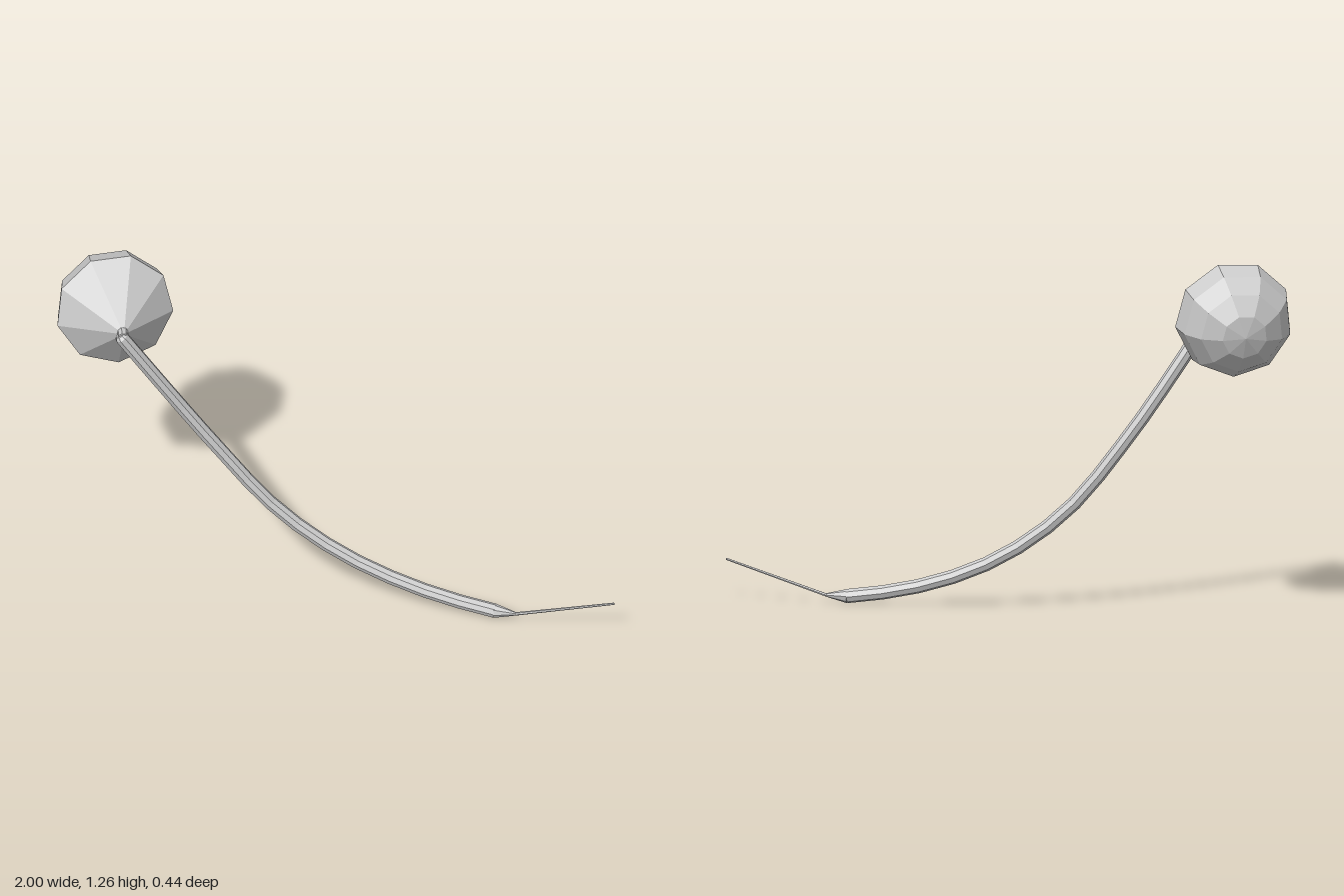
import * as THREE from 'three';

const V = (x, y, z) => new THREE.Vector3(x, y, z);

export function createModel() {
  const model = new THREE.Group();
  const material = new THREE.MeshStandardMaterial({ color: 0xcccccc, flatShading: true });

  const add = (name, geometry) => {
    const mesh = new THREE.Mesh(geometry, material);
    mesh.name = name;
    model.add(mesh);
    return mesh;
  };

  // Straight round bar from a to b with its own radius at each end
  const rod = (name, a, b, ra, rb, sides = 8) => {
    const dir = b.clone().sub(a);
    const mesh = add(name, new THREE.CylinderGeometry(rb, ra, dir.length(), sides));
    mesh.position.copy(a).addScaledVector(dir, 0.5);
    mesh.quaternion.setFromUnitVectors(V(0, 1, 0), dir.normalize());
    return mesh;
  };

  // Bulb: nine-sided cone closed by a faceted dome
  const R = 0.208;
  const centre = V(-0.798, 1.069, -0.013);
  const profile = [new THREE.Vector2(0.001, -0.195), new THREE.Vector2(0.02, -0.19)];
  for (let i = 0; i <= 4; i++) {
    const a = (i / 4) * Math.PI / 2;
    profile.push(new THREE.Vector2(Math.max(R * Math.cos(a), 0), R * Math.sin(a)));
  }
  const bulb = add('bulb', new THREE.LatheGeometry(profile, 9));
  const axis = V(-0.32, -0.2, -0.93).normalize();
  const down = V(0.04, -1, 0);
  down.addScaledVector(axis, -down.dot(axis)).normalize();
  const side = axis.clone().cross(down);
  bulb.quaternion.setFromRotationMatrix(new THREE.Matrix4().makeBasis(side, axis, down));
  bulb.position.copy(centre);

  // Stem: long sweeping tube from the bulb to the foot
  const top = V(-0.738, 1.105, 0.19);
  const foot = V(0.57, 0.029, 0.123);
  const path = new THREE.CatmullRomCurve3([
    top, V(-0.6, 0.885, 0.15), V(-0.42, 0.62, 0.113), V(-0.21, 0.36, 0.095),
    V(0, 0.2, 0.092), V(0.2, 0.108, 0.098), V(0.39, 0.056, 0.11), foot,
  ]);
  add('stem', new THREE.TubeGeometry(path, 14, 0.025, 8));

  // Neck joining the top of the stem to the point of the bulb
  rod('neck', V(-0.732, 1.108, 0.198), centre.clone().addScaledVector(axis, -0.18), 0.018, 0.02);
  rod('stemCap', top, top.clone().add(V(-0.006, 0.01, 0.002)), 0.025, 0.016);

  // Tapered foot and thin needle
  const tip = V(0.645, 0.03, 0.13);
  rod('taper', foot, tip, 0.025, 0.006);
  rod('needle', tip, V(0.999, 0.145, 0.163), 0.006, 0.004, 6);

  return model;
}
